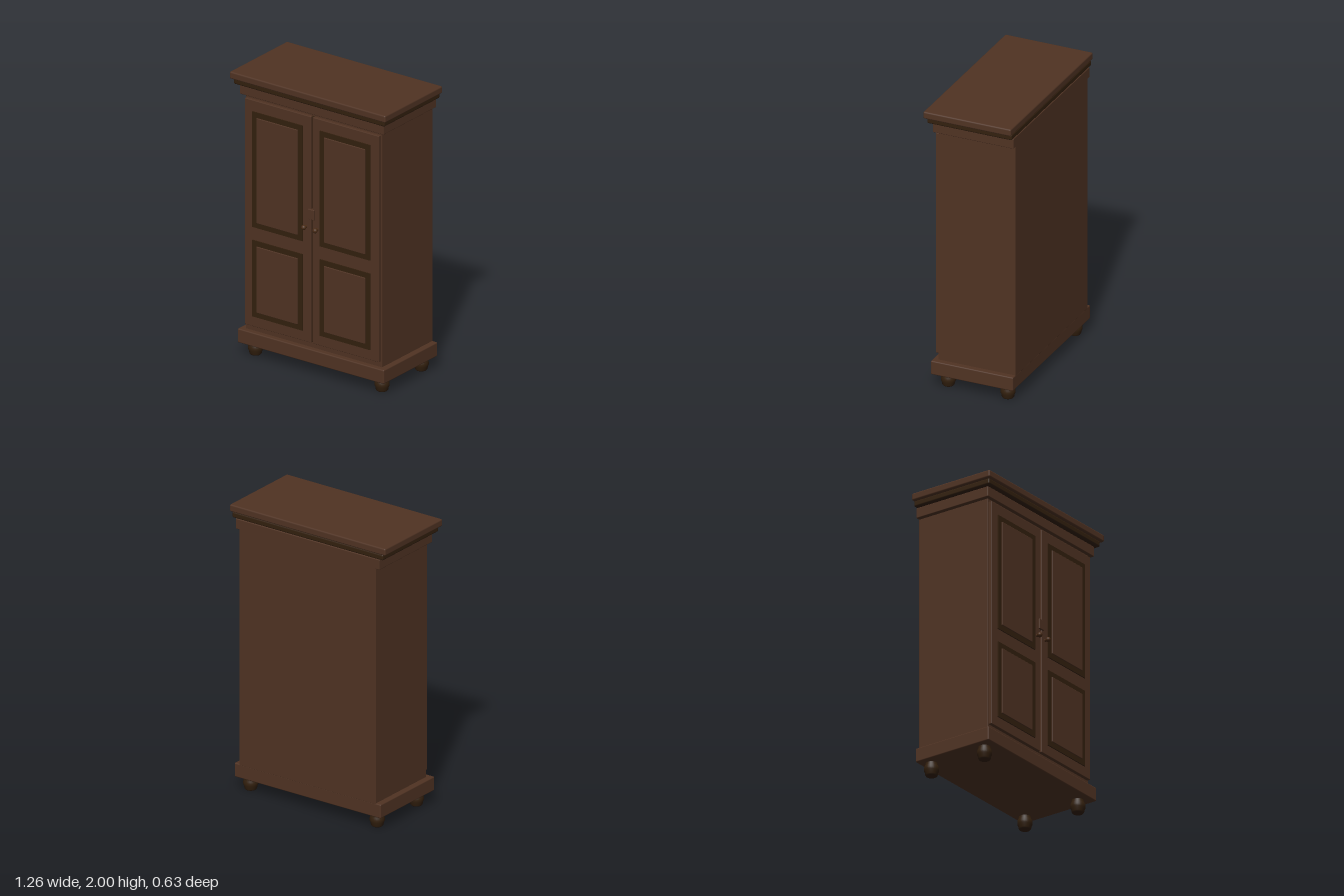
import * as THREE from 'three';
import { RoundedBoxGeometry } from 'three/addons/geometries/RoundedBoxGeometry.js';

const material = (name, color) => {
  const m = new THREE.MeshStandardMaterial({ color });
  m.name = name;
  return m;
};

export function createModel() {
  const wood = material('brown wood', 0x503323);
  const darkWood = material('dark wood', 0x33200e);
  const knobWood = material('knob brown', 0x4a2c16);
  const group = new THREE.Group();
  group.name = 'wardrobe';

  const add = (name, geometry, mat, parent = group) => {
    const mesh = new THREE.Mesh(geometry, mat);
    mesh.name = name;
    parent.add(mesh);
    return mesh;
  };

  // Softly rounded block given by its limits on each axis
  const block = (name, mat, [x0, x1], [y0, y1], [z0, z1], radius = 0.004, parent = group) => {
    const g = new RoundedBoxGeometry(x1 - x0, y1 - y0, z1 - z0, 2, radius);
    g.translate((x0 + x1) / 2, (y0 + y1) / 2, (z0 + z1) / 2);
    return add(name, g, mat, parent);
  };

  // Carcass, plinth and stepped cornice, all flush at the back
  const back = -0.312;
  block('carcass', wood, [-0.55, 0.55], [0.18, 1.85], [back, 0.242]);
  block('plinth', wood, [-0.59, 0.59], [0.09, 0.188], [back, 0.278], 0.008);
  block('corniceFrieze', wood, [-0.58, 0.58], [1.84, 1.912], [back, 0.267], 0.005);
  block('corniceMoulding', darkWood, [-0.608, 0.608], [1.912, 1.952], [back, 0.296], 0.01);
  block('corniceTop', wood, [-0.628, 0.628], [1.95, 2.0], [-0.314, 0.314], 0.01);

  // Dark shadow strip between the doors
  block('doorGap', darkWood, [-0.009, 0.009], [0.23, 1.82], [0.24, 0.247], 0.001);

  // Rectangular moulding with an open middle
  const moulding = (x0, x1, y0, y1, width) => {
    const shape = new THREE.Shape();
    shape.moveTo(x0, y0).lineTo(x1, y0).lineTo(x1, y1).lineTo(x0, y1).closePath();
    const hole = new THREE.Path();
    hole.moveTo(x0 + width, y0 + width).lineTo(x0 + width, y1 - width);
    hole.lineTo(x1 - width, y1 - width).lineTo(x1 - width, y0 + width).closePath();
    shape.holes.push(hole);
    const g = new THREE.ExtrudeGeometry(shape, { depth: 0.012, bevelEnabled: false });
    return g.translate(0, 0, 0.26);
  };

  // Two doors, each with an upper and a lower raised panel and a knob
  for (const side of [-1, 1]) {
    const door = new THREE.Group();
    door.name = side > 0 ? 'leftDoor' : 'rightDoor';
    group.add(door);
    const span = (a, b) => (side > 0 ? [a, b] : [-b, -a]);
    block('doorLeaf', wood, span(0.007, 0.54), [0.228, 1.82], [0.235, 0.265], 0.004, door);
    for (const [y0, y1] of [[0.3, 0.838], [0.93, 1.743]]) {
      const [x0, x1] = span(0.07, 0.475);
      add('panelMoulding', moulding(x0, x1, y0, y1, 0.038), darkWood, door);
      block('raisedPanel', wood, [x0 + 0.037, x1 - 0.037], [y0 + 0.037, y1 - 0.037],
        [0.255, 0.279], 0.003, door);
    }
    const stem = add('knobStem', new THREE.CylinderGeometry(0.008, 0.01, 0.03, 16), knobWood, door);
    stem.rotation.x = Math.PI / 2;
    stem.position.set(side * 0.046, 1.04, 0.275);
    const knob = add('knob', new THREE.SphereGeometry(0.017, 20, 14), knobWood, door);
    knob.position.set(side * 0.046, 1.04, 0.29);
  }

  // Lock plate across the meeting doors
  block('lockPlate', wood, [-0.025, 0.025], [1.1, 1.17], [0.24, 0.275], 0.003);

  // Turned bun feet
  const profile = [
    [0, 0], [0.035, 0], [0.041, 0.008], [0.044, 0.025], [0.049, 0.035],
    [0.05, 0.05], [0.047, 0.065], [0.041, 0.078], [0.04, 0.095],
  ].map(([r, y]) => new THREE.Vector2(r, y));
  const footGeometry = new THREE.LatheGeometry(profile, 24);
  for (const x of [-0.51, 0.51]) {
    for (const z of [-0.24, 0.187]) {
      add('foot', footGeometry, darkWood).position.set(x, 0, z);
    }
  }

  return group;
}
